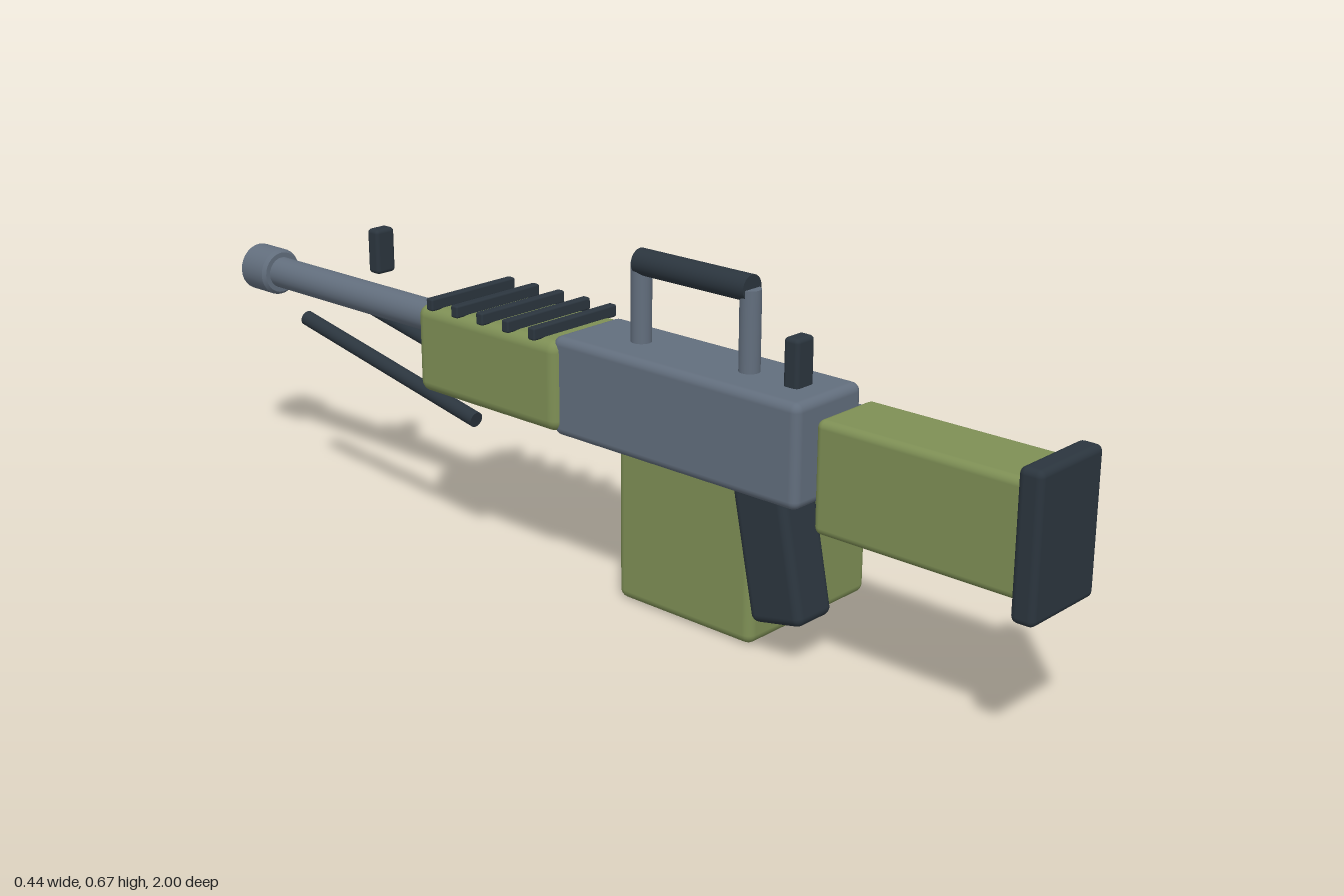
import * as THREE from 'three';
import { RoundedBoxGeometry } from 'three/addons/geometries/RoundedBoxGeometry.js';

const mat = (name, color) => {
  const m = new THREE.MeshStandardMaterial({ color });
  m.name = name;
  return m;
};

export function createModel() {
  const olive = mat('olive green', 0x7e8f55);
  const steel = mat('steel grey', 0x626e7d);
  const black = mat('dark gunmetal', 0x2b353e);
  const group = new THREE.Group();
  const CX = -0.112; // centre line of the gun

  const add = (name, geometry, material) => {
    const mesh = new THREE.Mesh(geometry, material);
    mesh.name = name;
    group.add(mesh);
    return mesh;
  };
  // Rounded box from its limits on each axis
  const box = (name, material, [x0, x1], [y0, y1], [z0, z1], radius) => {
    const mesh = add(name, new RoundedBoxGeometry(x1 - x0, y1 - y0, z1 - z0, 3, radius), material);
    mesh.position.set((x0 + x1) / 2, (y0 + y1) / 2, (z0 + z1) / 2);
    return mesh;
  };
  // Round bar between two points
  const rod = (name, material, a, b, radius) => {
    const from = new THREE.Vector3(...a), to = new THREE.Vector3(...b);
    const dir = to.clone().sub(from);
    const mesh = add(name, new THREE.CylinderGeometry(radius, radius, dir.length(), 24), material);
    mesh.position.copy(from).add(to).multiplyScalar(0.5);
    mesh.quaternion.setFromUnitVectors(new THREE.Vector3(0, 1, 0), dir.normalize());
    return mesh;
  };
  const around = (half) => [CX - half, CX + half];

  // Body
  box('receiver', steel, around(0.087), [0.313, 0.5], [-0.027, 0.538], 0.016);
  box('handguard', olive, around(0.1), [0.32, 0.492], [-0.378, -0.005], 0.022);
  box('stock', olive, around(0.073), [0.28, 0.48], [0.563, 0.965], 0.014);
  box('buttPlate', black, around(0.087), [0.25, 0.505], [0.956, 1], 0.012);

  // Cooling ribs across the handguard
  for (let i = 0; i < 5; i++) {
    const z = -0.058 - i * 0.068;
    box('handguardRib', black, around(0.107), [0.489, 0.513], [z - 0.009, z + 0.009], 0.004);
  }

  // Barrel and muzzle
  rod('barrel', steel, [CX, 0.433, -0.35], [CX, 0.433, -0.93], 0.032);
  const profile = [[0, 0], [0.042, 0], [0.048, 0.007], [0.048, 0.075], [0.042, 0.082], [0.027, 0.082]];
  const muzzle = new THREE.Group();
  muzzle.name = 'muzzle';
  for (let i = 0; i < profile.length - 1; i++) {
    const ring = new THREE.Mesh(new THREE.LatheGeometry(
      [profile[i], profile[i + 1]].map(([r, y]) => new THREE.Vector2(r, y)), 28), steel);
    ring.name = 'muzzleRing';
    muzzle.add(ring);
  }
  const bore = new THREE.Mesh(new THREE.CylinderGeometry(0.028, 0.028, 0.008, 28), black);
  bore.name = 'bore';
  bore.position.y = 0.08;
  muzzle.add(bore);
  muzzle.rotation.x = -Math.PI / 2;
  muzzle.position.set(CX, 0.433, -0.916);
  group.add(muzzle);

  // Sights
  box('frontSight', black, around(0.023), [0.495, 0.585], [-0.606, -0.575], 0.008);
  box('rearSight', black, around(0.023), [0.48, 0.585], [0.453, 0.485], 0.008);

  // Carrying handle
  for (const z of [0.363, 0.113]) {
    rod('handlePost', steel, [CX, 0.48, z], [CX, 0.645, z], 0.019);
  }
  rod('handleBar', black, [CX, 0.646, 0.366], [CX, 0.646, 0.11], 0.024);

  // Raked pistol grip
  const grip = box('pistolGrip', black, around(0.047), [0.072, 0.352], [0.383, 0.497], 0.016);
  grip.rotation.x = -0.2;

  // Ammunition box with lid, offset to one side
  box('ammoBox', olive, [-0.131, 0.203], [0, 0.33], [0.07, 0.39], 0.018);
  box('ammoBoxLid', steel, [-0.145, 0.217], [0.313, 0.36], [0.053, 0.4], 0.012);

  // Folded bipod legs
  for (const side of [-1, 1]) {
    const x = CX + side * 0.075;
    rod('bipodLeg', black, [x, 0.286, -0.243], [x, 0.385, -0.742], 0.015);
  }
  return group;
}
